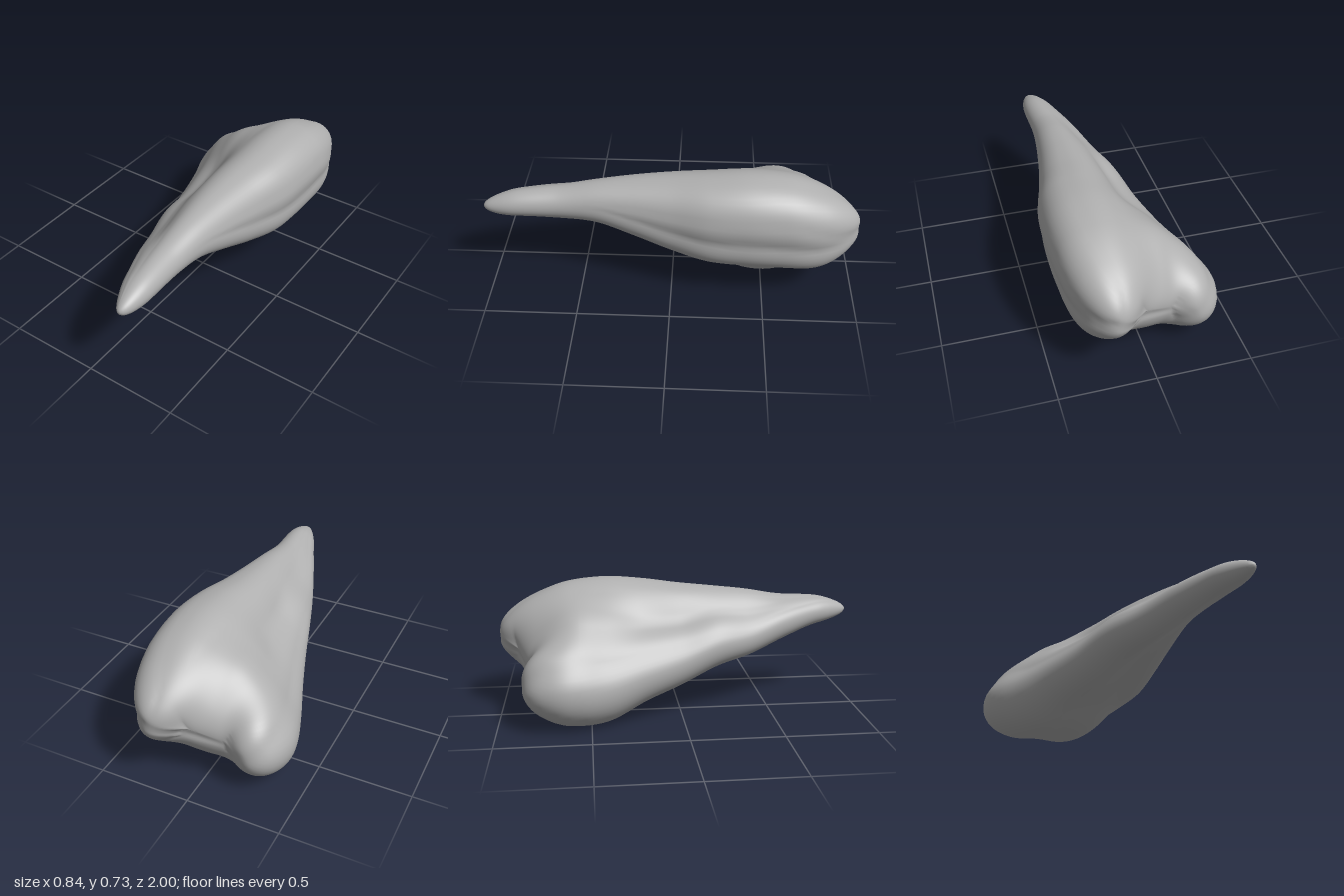
import * as THREE from 'three';

// Stations every 0.2 from z = 1 to z = -1:
// main lobe x, y, r | side lobe x, y, r | drop of the main lobe | waist of the web between them
const STATIONS = [
  [0.22, 0.505, 0.055, 0.22, 0.505, 0.055, 0, 0],
  [0.205, 0.52, 0.073, 0.165, 0.5, 0.068, 0, 0],
  [0.185, 0.52, 0.088, 0.1, 0.46, 0.088, 0, -0.006],
  [0.18, 0.535, 0.108, 0.03, 0.4, 0.098, 0.02, -0.006],
  [0.175, 0.525, 0.142, -0.02, 0.37, 0.118, 0.06, -0.002],
  [0.18, 0.51, 0.178, -0.07, 0.3, 0.13, 0.1, 0.01],
  [0.2, 0.505, 0.207, -0.12, 0.25, 0.15, 0.13, 0],
  [0.202, 0.506, 0.22, -0.157, 0.2, 0.19, 0.14, -0.045],
  [0.195, 0.49, 0.22, -0.208, 0.207, 0.205, 0.14, -0.06],
  [0.185, 0.45, 0.22, -0.255, 0.215, 0.195, 0.12, -0.03],
  [0.18, 0.43, 0.21, -0.28, 0.22, 0.19, 0.06, 0],
];

function station(z) {
  const u = THREE.MathUtils.clamp((1 - z) / 0.2, 0, 10);
  const i = Math.min(9, Math.floor(u)), t = u - i;
  const row = (k) => STATIONS[THREE.MathUtils.clamp(k, 0, 10)];
  const [p, q, r, s] = [row(i - 1), row(i), row(i + 1), row(i + 2)];
  return q.map((v, k) => v + 0.5 * t * (r[k] - p[k]
    + t * (2 * p[k] - 5 * v + 4 * r[k] - s[k] + t * (3 * (v - r[k]) + s[k] - p[k]))));
}

// Rounds a lobe off to nothing over the given length
const taper = (t) => (t <= 0 ? 1 : t < 1 ? Math.sqrt(1 - t * t) : 1 - t);

function smoothMin(a, b, k) {
  const h = Math.max(k - Math.abs(a - b), 0) / k;
  return Math.min(a, b) - h * h * k * 0.25;
}

// Band between two circles; scaleAt(t) shrinks it towards the ends of the body
function capsule(x, y, [ax, ay, ar], [bx, by, br], waist, scaleAt) {
  const dx = bx - ax, dy = by - ay;
  const t = THREE.MathUtils.clamp(((x - ax) * dx + (y - ay) * dy) / (dx * dx + dy * dy + 1e-9), 0, 1);
  const r = ar + (br - ar) * t - 4 * waist * t * (1 - t);
  return Math.hypot(x - ax - dx * t, y - ay - dy * t) - r * scaleAt(t);
}

// Field that is negative inside the body
function field(x, y, z) {
  const [ax, ay, ar, bx, by, br, drop, waist] = station(z);
  const tip = taper((z - 0.82) / 0.18), blend = 0.36 * ar * Math.max(tip, 0.02);
  const cx = ax + drop * 0.3, cy = ay - drop, cr = ar * (1 - drop * 1.9);
  const mainEnd = () => tip * taper((-0.6 - z) / 0.4);
  const sideEnd = () => tip * taper((-0.6 - z) / 0.26);
  // The web reaches further back beside the main lobe, leaving a notch by the side lobe
  const webEnd = (t) => tip * taper((-0.5 - z) / (0.45 - 0.18 * t));
  const core = capsule(x, y, [ax, ay, ar], [cx, cy, cr], -0.14 * drop, mainEnd);
  const shoulder = capsule(x, y, [ax, ay, ar],
    [ax + drop * 0.39, ay + drop * 0.39, ar - drop * 0.43], 0, mainEnd);
  const main = Math.min(core, shoulder);
  const side = capsule(x, y, [bx, by, br],
    [bx + drop * 0.25, by + drop * 0.6, br * (1 - drop * 0.6)], 0, sideEnd);
  const inset = 0.09 * ar, root = [bx, by, br - inset], pinch = waist - 0.8 * inset;
  const upper = capsule(x, y, [ax, ay, ar - inset], root, pinch, webEnd);
  const lower = capsule(x, y, [cx, cy, cr - inset], root, pinch - 1.8 * drop * drop, webEnd);
  return smoothMin(smoothMin(main, side, blend), smoothMin(upper, lower, blend * 0.4), blend)
    + 0.054 * ar * Math.max(tip, 0);
}

// Distance from an inner point to the surface
function castOut(o, d) {
  const at = (s) => field(o.x + d.x * s, o.y + d.y * s, o.z + d.z * s);
  let hi = 0.01;
  while (at(hi) < 0 && hi < 1) hi += 0.015;
  let lo = Math.max(0, hi - 0.015);
  for (let i = 0; i < 14; i++) {
    const mid = (lo + hi) / 2;
    if (at(mid) < 0) lo = mid; else hi = mid;
  }
  return o.clone().addScaledVector(d, lo);
}

function bodyGeometry() {
  const FRONT = 0.88, BACK = -0.55, SIDES = 96;
  // Each ring has a centre depth and a tilt towards the front or back
  const rings = [];
  for (let i = 1; i < 14; i++) rings.push([FRONT, Math.PI / 2 * (1 - i / 14)]);
  for (let i = 0; i <= 72; i++) rings.push([THREE.MathUtils.lerp(FRONT, BACK, i / 72), 0]);
  for (let i = 1; i < 44; i++) rings.push([BACK, -Math.PI / 2 * i / 44]);

  const centre = (z) => {
    const s = station(z);
    return new THREE.Vector3((s[0] + s[3]) / 2, (s[1] + s[4]) / 2, z);
  };
  const points = [];
  for (const [z, tilt] of rings) {
    const o = centre(z);
    for (let j = 0; j < SIDES; j++) {
      const a = j / SIDES * Math.PI * 2, c = Math.cos(tilt);
      points.push(castOut(o, new THREE.Vector3(Math.cos(a) * c, Math.sin(a) * c, Math.sin(tilt))));
    }
  }
  const first = points.push(castOut(centre(FRONT), new THREE.Vector3(0, 0, 1))) - 1;
  const last = points.push(castOut(centre(BACK), new THREE.Vector3(0, 0, -1))) - 1;

  const index = [], end = (rings.length - 1) * SIDES;
  for (let j = 0; j < SIDES; j++) {
    const k = (j + 1) % SIDES;
    index.push(first, j, k, last, end + k, end + j);
    for (let i = 0; i < end; i += SIDES) {
      index.push(i + j, i + SIDES + j, i + k, i + k, i + SIDES + j, i + SIDES + k);
    }
  }
  const geometry = new THREE.BufferGeometry().setFromPoints(points);
  geometry.setIndex(index);
  geometry.computeVertexNormals();
  return geometry;
}

export function createModel() {
  const group = new THREE.Group();
  const grey = new THREE.MeshStandardMaterial({ color: 0xb0b0b0 });
  grey.name = 'plain grey';
  // Tapering body with a two-lobed back end
  const body = new THREE.Mesh(bodyGeometry(), grey);
  body.name = 'taperedBody';
  group.add(body);
  return group;
}
